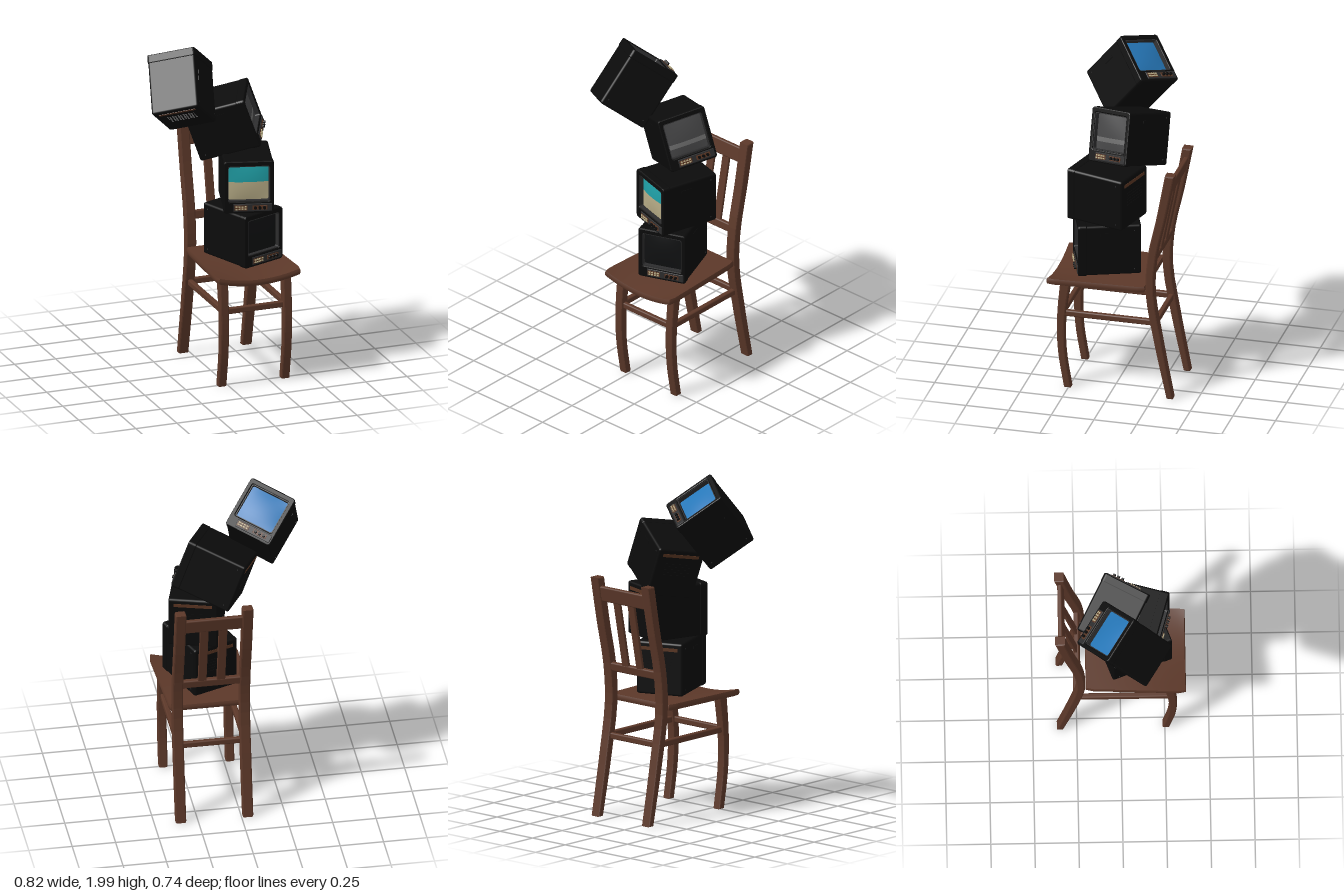
import * as THREE from 'three';
import { RoundedBoxGeometry } from 'three/addons/geometries/RoundedBoxGeometry.js';

const paint = (name, color, side = THREE.FrontSide) => {
  const m = new THREE.MeshStandardMaterial({ color, side });
  m.name = name;
  return m;
};
const wood = paint('brown wood', 0x5c3829);
const black = paint('black plastic', 0x0b0b0b);
const grey = paint('dark grey trim', 0x2c2c2d);
const copper = paint('copper brown', 0x593522);
const cream = paint('cream', 0xb9ae88);
const teal = paint('teal', 0x1f9fa6);
const blue = paint('blue', 0x2677b8);
const glass = paint('dark glass', 0x101112);
const noise = paint('static grey', 0x454546);
const noiseLight = paint('light static grey', 0x6c6c6c);

function add(parent, name, geometry, material, x = 0, y = 0, z = 0) {
  const mesh = new THREE.Mesh(geometry, material);
  mesh.name = name;
  mesh.position.set(x, y, z);
  parent.add(mesh);
  return mesh;
}
const rbox = (w, h, d, r = 0.008) => new RoundedBoxGeometry(w, h, d, 2, r);

// Bent square post: centre line given as [z, y, thickness], extruded across x
function bentPost(points, width) {
  const curve = new THREE.CatmullRomCurve3(points.map(([z, y, t]) => new THREE.Vector3(z, y, t)));
  const line = curve.getPoints(18);
  const outline = [
    ...line.map(p => new THREE.Vector2(-p.x + p.z / 2, p.y)),
    ...line.reverse().map(p => new THREE.Vector2(-p.x - p.z / 2, p.y)),
  ];
  const b = 0.008;
  const g = new THREE.ExtrudeGeometry(new THREE.Shape(outline), {
    depth: width - 2 * b, bevelThickness: b, bevelSize: b, bevelOffset: -b, bevelSegments: 2,
  });
  g.translate(0, 0, -width / 2 + b);
  g.rotateY(Math.PI / 2);
  return g;
}

// Tapered seat board with a saddle that sags toward the front
function seatGeometry() {
  const g = new THREE.BoxGeometry(2, 1, 2, 16, 3, 14);
  const p = g.attributes.position;
  for (let i = 0; i < p.count; i++) {
    const u = p.getX(i), v = p.getY(i), w = p.getZ(i);
    const front = (w + 1) / 2;
    const edge = Math.abs(v) > 0.4 ? 0.985 : 1;
    const corner = Math.abs(w) > 0.99 ? 0.965 : 1;
    const sag = 0.035 * (1 - u * u) * front * front;
    p.setXYZ(i, u * (0.232 + 0.024 * front) * edge * corner,
      0.669 + v * 0.034 - sag, 0.085 + w * 0.285 * edge);
  }
  g.computeVertexNormals();
  return g;
}

function makeChair() {
  const chair = new THREE.Group();
  chair.name = 'chair';
  chair.position.x = 0.156;
  add(chair, 'seat', seatGeometry(), wood);
  for (const s of [-1, 1]) {
    add(chair, 'frontLeg', bentPost(
      [[0.256, 0, 0.04], [0.288, 0.2, 0.042], [0.296, 0.36, 0.045], [0.288, 0.5, 0.05], [0.27, 0.65, 0.058]], 0.052), wood, s * 0.192);
    add(chair, 'backPost', bentPost(
      [[-0.345, 0, 0.036], [-0.275, 0.35, 0.045], [-0.228, 0.65, 0.048], [-0.24, 0.87, 0.05],
        [-0.295, 1.13, 0.052], [-0.345, 1.395, 0.055]], 0.062), wood, s * 0.193);
    add(chair, 'sideStretcher', rbox(0.03, 0.036, 0.54), wood, s * 0.19, 0.458, 0.025);
    // Slats lean between the two back rails
    const slat = add(chair, 'backSlat', rbox(0.05, 0.47, 0.018, 0.005), wood, s * 0.054, 1.075, -0.292);
    slat.rotation.x = -0.195;
  }
  add(chair, 'frontStretcher', rbox(0.37, 0.036, 0.028), wood, 0, 0.458, 0.29);
  add(chair, 'rearStretcher', rbox(0.37, 0.036, 0.028), wood, 0, 0.458, -0.255);
  add(chair, 'topRail', rbox(0.37, 0.09, 0.026), wood, 0, 1.3, -0.335).rotation.x = -0.19;
  add(chair, 'lowerRail', rbox(0.37, 0.05, 0.03), wood, 0, 0.86, -0.246).rotation.x = -0.15;
  return chair;
}

const W = 0.288, H = 0.312, D = 0.36;          // television size
const SW = 0.238, SH = 0.212, SY = 0.02;       // screen size and height offset

function roundRect(T, w, h, r, cy = 0) {
  const s = new T(), x = w / 2, y = h / 2;
  s.absarc(x - r, cy + y - r, r, 0, Math.PI / 2);
  s.absarc(-x + r, cy + y - r, r, Math.PI / 2, Math.PI);
  s.absarc(-x + r, cy - y + r, r, Math.PI, Math.PI * 1.5);
  s.absarc(x - r, cy - y + r, r, Math.PI * 1.5, Math.PI * 2);
  s.closePath();
  return s;
}

function ring(w, h, r, hw, hh, hy, depth, bevel) {
  const shape = roundRect(THREE.Shape, w, h, r, bevel ? 0 : hy);
  shape.holes.push(roundRect(THREE.Path, hw, hh, 0.01, hy));
  return new THREE.ExtrudeGeometry(shape, {
    depth: depth - bevel, bevelEnabled: bevel > 0, bevelThickness: bevel, bevelSize: bevel,
    bevelOffset: -bevel, bevelSegments: 2, curveSegments: 4,
  });
}

// Horizontal slice of the bulging screen, from v0 to v1 (-1 bottom, 1 top)
function screenSlice(v0, v1) {
  const g = new THREE.PlaneGeometry(2, v1 - v0, 12, 8);
  g.translate(0, (v0 + v1) / 2, 0);
  const p = g.attributes.position;
  for (let i = 0; i < p.count; i++) {
    const u = p.getX(i), v = p.getY(i);
    p.setXYZ(i, u * SW / 2, SY + v * SH / 2, D / 2 - 0.03 + 0.012 * (1 - u * u) * (1 - v * v));
  }
  g.computeVertexNormals();
  return g;
}

function makeTelevision(name, slices) {
  const tv = new THREE.Group();
  tv.name = name;
  const f = D / 2;
  add(tv, 'cabinet', rbox(W - 0.006, H - 0.006, D - 0.034, 0.013), black, 0, 0, -0.017);
  add(tv, 'frontFrame', ring(W, H, 0.016, SW, SH, SY, 0.045, 0.006), black, 0, 0, f - 0.045);
  add(tv, 'screenRim', ring(SW + 0.004, SH + 0.004, 0.012, SW - 0.009, SH - 0.009, SY, 0.026, 0), grey, 0, 0, f - 0.031);
  for (const [v0, v1, mat] of slices) add(tv, 'screen', screenSlice(v0, v1), mat);

  // Control strip with knobs and push buttons
  add(tv, 'controlPanel', rbox(0.22, 0.046, 0.008, 0.003), grey, 0.022, -0.121, f + 0.001);
  add(tv, 'buttonPlate', rbox(0.075, 0.03, 0.004, 0.001), copper, -0.045, -0.121, f + 0.005);
  add(tv, 'knobPlate', rbox(0.085, 0.026, 0.004, 0.001), copper, 0.062, -0.121, f + 0.005);
  for (let i = 0; i < 4; i++) {
    for (const y of [-0.114, -0.128]) {
      add(tv, 'button', new THREE.BoxGeometry(0.011, 0.007, 0.006), cream, -0.071 + i * 0.017, y, f + 0.009);
    }
  }
  for (let i = 0; i < 3; i++) {
    const knob = add(tv, 'knob', new THREE.CylinderGeometry(0.008, 0.009, 0.014, 14), black, 0.036 + i * 0.026, -0.121, f + 0.012);
    knob.rotation.x = Math.PI / 2;
  }

  // Back label strip, vents and side screws
  add(tv, 'backStrip', new THREE.BoxGeometry(0.22, 0.02, 0.004), copper, 0, 0.115, -f);
  for (let i = 0; i < 5; i++) {
    add(tv, 'backVent', new THREE.BoxGeometry(0.16, 0.006, 0.004), black, 0, 0.06 - i * 0.018, -f);
  }
  for (const s of [-1, 1]) {
    add(tv, 'sideGrip', new THREE.BoxGeometry(0.004, 0.014, 0.07), black, s * (W / 2 - 0.003), 0.1, 0.02);
    for (const y of [-0.12, 0.12]) {
      add(tv, 'screw', new THREE.BoxGeometry(0.004, 0.006, 0.006), grey, s * (W / 2 - 0.003), y, -0.14);
    }
  }
  return tv;
}

// Places a television by its centre, up direction and facing direction
function place(tv, centre, up, facing) {
  const n = new THREE.Vector3(...facing).normalize();
  const x = new THREE.Vector3(...up).cross(n).normalize();
  const u = n.clone().cross(x);
  tv.quaternion.setFromRotationMatrix(new THREE.Matrix4().makeBasis(x, u, n));
  tv.position.set(...centre);
  return tv;
}

export function createModel() {
  const model = new THREE.Group();
  model.name = 'televisionsOnChair';
  model.add(makeChair());
  model.add(place(makeTelevision('bottomTelevision', [[-1, 1, glass]]),
    [0.165, 0.852, 0.075], [0, 1, 0], [0.353, 0, 0.935]));
  model.add(place(makeTelevision('secondTelevision', [[-1, 0.05, cream], [0.05, 1, teal]]),
    [0.187, 1.168, 0.07], [0, 1, 0], [-0.276, 0, 0.96]));
  model.add(place(makeTelevision('thirdTelevision', [[-1, -0.55, noise], [-0.55, -0.3, noiseLight], [-0.3, 1, noise]]),
    [0.097, 1.488, -0.04], [-0.34, 0.94, 0], [0.833, 0.301, 0.463]));
  model.add(place(makeTelevision('topTelevision', [[-1, 1, blue]]),
    [-0.185, 1.732, 0.022], [-0.589, 0.58, 0.564], [0.167, 0.77, -0.616]));
  return model;
}
